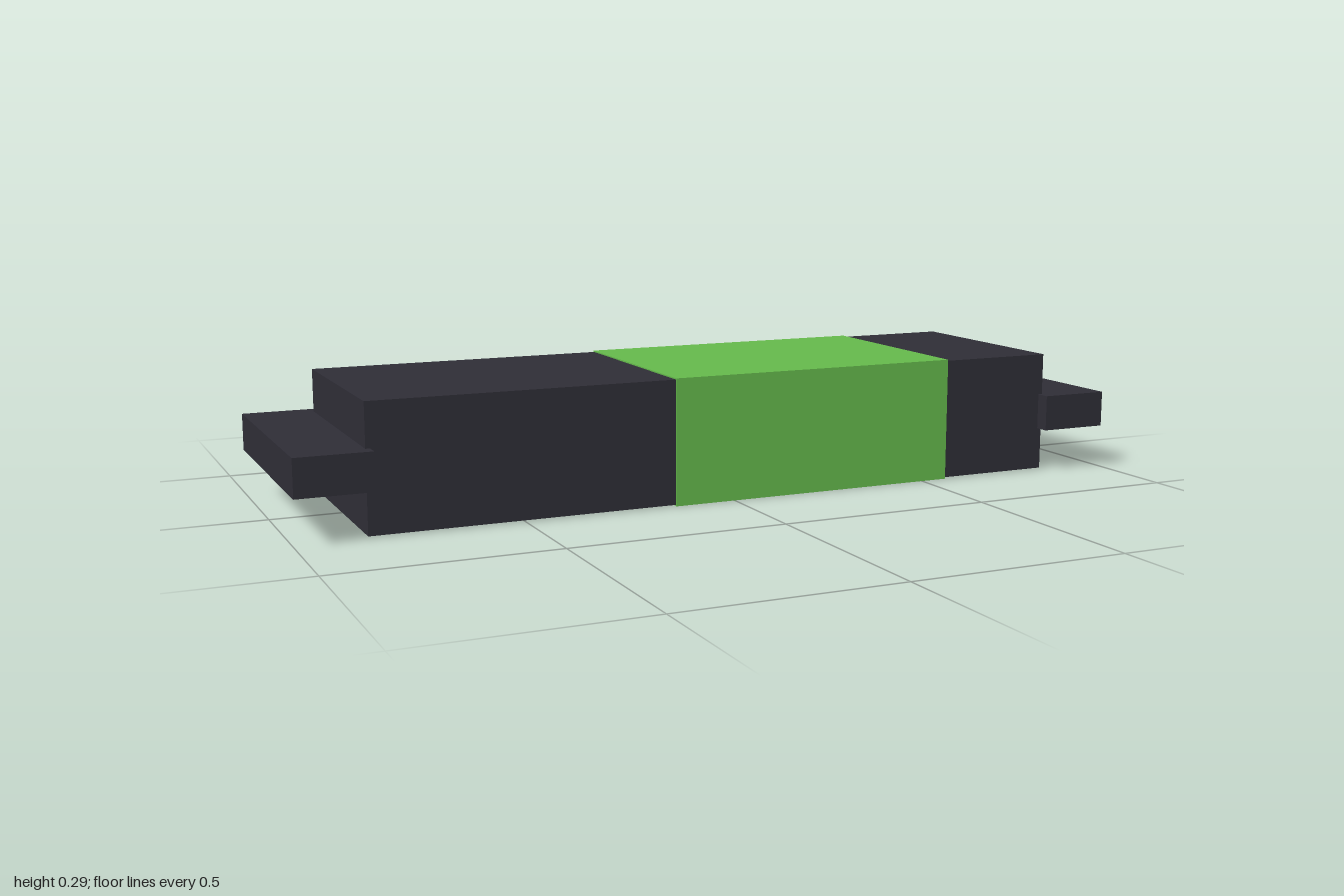
import * as THREE from 'three';

export function createModel() {
  const model = new THREE.Group();
  const charcoal = new THREE.MeshStandardMaterial({ color: 0x2e2d36 });
  charcoal.name = 'charcoal';
  const green = new THREE.MeshStandardMaterial({ color: 0x64b84b });
  green.name = 'green';

  // Box given by its extents along x and y, and its half depth
  function addBox(name, material, x0, x1, y0, y1, halfDepth) {
    const mesh = new THREE.Mesh(new THREE.BoxGeometry(x1 - x0, y1 - y0, halfDepth * 2), material);
    mesh.position.set((x0 + x1) / 2, (y0 + y1) / 2, 0);
    mesh.name = name;
    model.add(mesh);
  }

  // Long body with a slightly larger coloured band wrapped round it
  addBox('body', charcoal, -0.843, 0.843, 0.003, 0.287, 0.248);
  addBox('band', green, -0.145, 0.565, 0, 0.29, 0.251);

  // Flat end bars, wider than the body
  addBox('leftEndBar', charcoal, 0.833, 1, 0.103, 0.188, 0.282);
  addBox('rightEndBar', charcoal, -1, -0.833, 0.103, 0.188, 0.282);

  return model;
}
